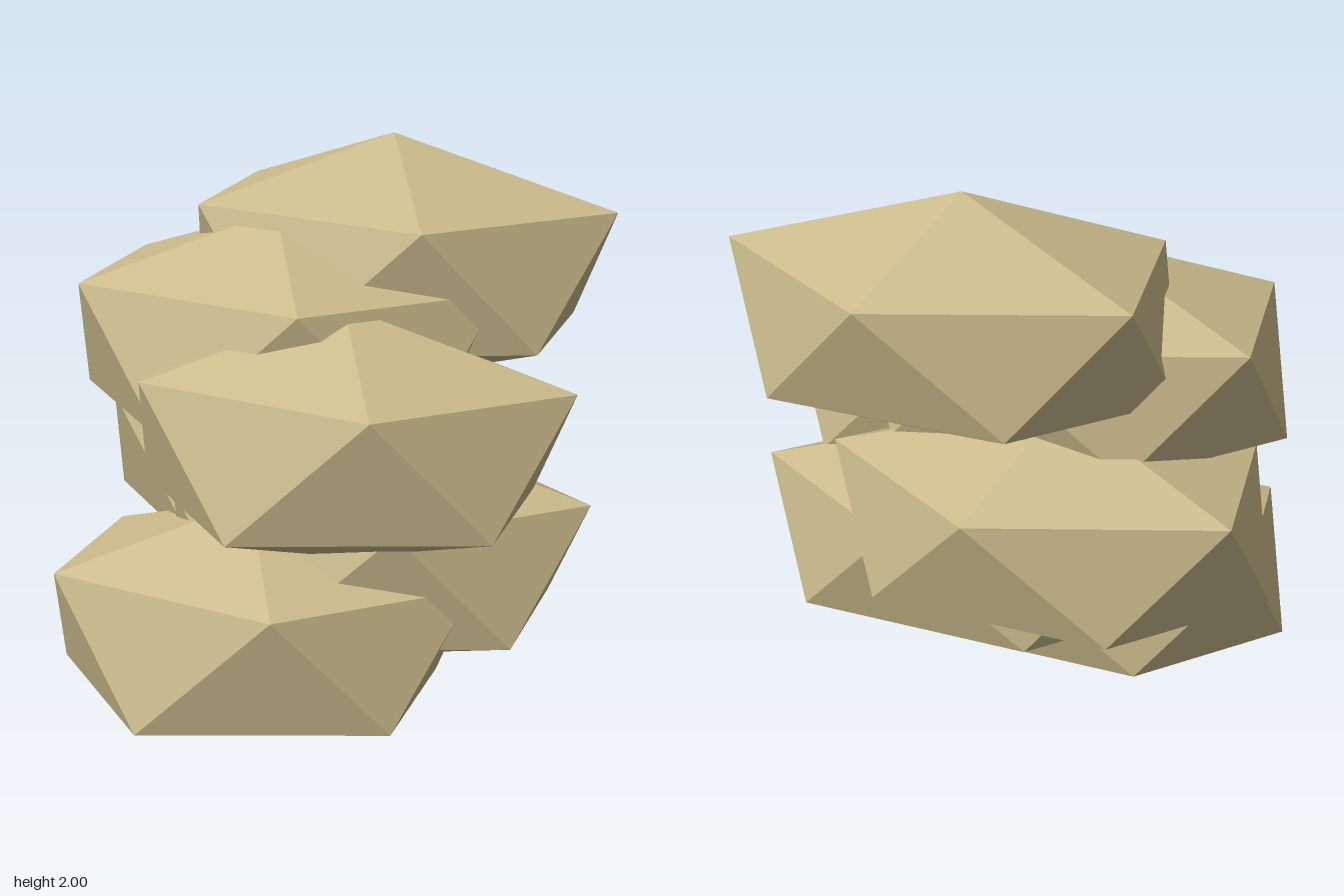
import * as THREE from 'three';
import { ConvexGeometry } from 'three/addons/geometries/ConvexGeometry.js';

// One faceted boulder: a stretched, slightly irregular twenty-sided stone
function boulderGeometry() {
  const corners = [
    [0, 0.425, 0],                                // peak
    [0.763, 0.205, 0],                            // upper ring
    [0.225, 0.19, 0.445], [0.225, 0.195, -0.455],
    [-0.59, 0.2, 0.285], [-0.59, 0.2, -0.295],
    [-0.69, -0.22, 0],                            // lower ring
    [-0.23, -0.24, 0.49], [-0.23, -0.205, -0.42],
    [0.57, -0.22, 0.275], [0.57, -0.215, -0.27],
    [0, -0.425, 0],                               // base point
  ];
  return new ConvexGeometry(corners.map((c) => new THREE.Vector3(...c)));
}

export function createModel() {
  const group = new THREE.Group();
  group.name = 'boulderStack';

  const sandstone = new THREE.MeshStandardMaterial({ color: 0xc9b98a, flatShading: true });
  sandstone.name = 'sandstone';
  const geometry = boulderGeometry();

  // Six boulders climb evenly, alternating sides and stepping front to back
  const sides = [-0.2, 0.122];
  const depths = [0.255, -0.02, -0.29];
  for (let i = 0; i < 6; i++) {
    const boulder = new THREE.Mesh(geometry, sandstone);
    boulder.name = `boulder${i + 1}`;
    boulder.position.set(sides[i % 2], 0.425 + 0.23 * i, depths[i % 3]);
    group.add(boulder);
  }
  return group;
}
